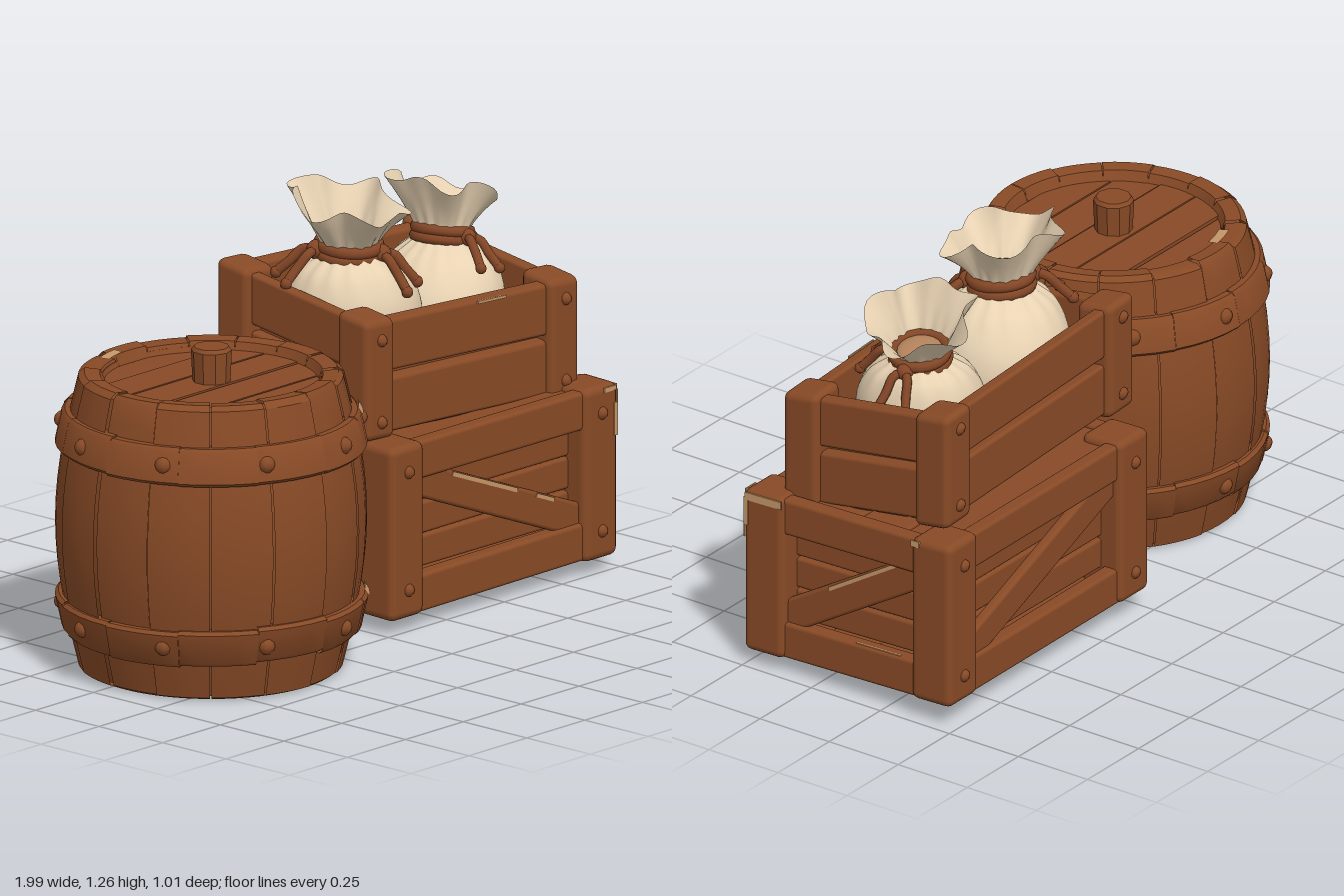
import * as THREE from 'three';
import { toCreasedNormals, mergeVertices } from 'three/addons/utils/BufferGeometryUtils.js';
import { RoundedBoxGeometry } from 'three/addons/geometries/RoundedBoxGeometry.js';

const material = (name, color, side = THREE.FrontSide) => {
  const m = new THREE.MeshStandardMaterial({ color, side });
  m.name = name;
  return m;
};
const wood = material('brown wood', 0x884a26);
const woodOpen = material('brown wood staves', 0x884a26, THREE.DoubleSide);
const cloth = material('sack cloth', 0xead4b4, THREE.DoubleSide);
const lining = material('sack mouth', 0xb5835c);
const cord = material('cord', 0x834626);
const scuff = material('worn edge', 0xc69768);

// seeded variation for hand-cut timber
let seed = 7;
const vary = (a) => {
  seed = (seed * 16807) % 2147483647;
  return (seed / 2147483647 - 0.5) * 2 * a;
};

function add(parent, name, geo, mat, matrix) {
  if (matrix) geo.applyMatrix4(matrix);
  const mesh = new THREE.Mesh(geo, mat);
  mesh.name = name;
  parent.add(mesh);
  return mesh;
}

function group(parent, name) {
  const g = new THREE.Group();
  g.name = name;
  parent.add(g);
  return g;
}

const plank = (w, h, d, r = 0.012) =>
  new RoundedBoxGeometry(w, h, d, 2, Math.min(r, w / 3, h / 3, d / 3));

const lathe = (pts, segs, start = 0, len = Math.PI * 2) => toCreasedNormals(
  new THREE.LatheGeometry(pts.map(([r, y]) => new THREE.Vector2(r, y)), segs, start, len), 0.6);

function makeBarrel(parent) {
  const g = group(parent, 'barrel');
  const H = 0.89, count = 15, step = (Math.PI * 2) / count;
  const radius = (y) => 0.383 + 0.07 * Math.sin((Math.PI * y) / H);

  // bulging staves, each slightly different
  for (let i = 0; i < count; i++) {
    const dr = vary(0.005), dy = vary(0.007), pts = [[0.27, 0.03], [0.3, 0.004], [0.37, 0.004]];
    for (let k = 0; k <= 14; k++) {
      const y = 0.012 + (k / 14) * (H - 0.024);
      pts.push([radius(y) + dr, y]);
    }
    pts.push([0.37, H + dy], [0.325, H + dy - 0.004], [0.3, 0.83]);
    add(g, 'stave', lathe(pts, 4, i * step + 0.005, step - 0.01), woodOpen);
  }
  // solid core seen through the seams
  const core = [[0, 0.03], [0.27, 0.03], [0.29, 0.012]];
  for (let k = 0; k <= 10; k++) core.push([radius((k / 10) * H) - 0.014, 0.012 + k * 0.086]);
  core.push([0.32, 0.872], [0.31, 0.83], [0, 0.83]);
  add(g, 'core', lathe(core, 40), wood);

  // hoops in overlapping segments, with rivets and a worn upper edge
  for (const [y0, r0, y1, r1] of [[0.12, 0.436, 0.23, 0.455], [0.67, 0.455, 0.78, 0.436]]) {
    for (let i = 0; i < 12; i++) {
      const e = vary(0.003), f = vary(0.007);
      add(g, 'hoop', lathe([[0.39, y0 + f], [r0 - 0.01 + e, y0 + f], [r0 + e, y0 + 0.01 + f],
        [r1 + e, y1 - 0.01 + f], [r1 - 0.01 + e, y1 + f], [0.39, y1 + f]], 4,
      i * Math.PI / 6, Math.PI / 6), woodOpen);
    }
    for (let i = 0; i < 9; i++) {
      const a = i * Math.PI * 2 / 9 + 0.24, r = (r0 + r1) / 2 - 0.008;
      const rivet = add(g, 'rivet', new THREE.SphereGeometry(0.026, 8, 6), wood);
      rivet.position.set(Math.sin(a) * r, (y0 + y1) / 2, Math.cos(a) * r);
    }
    add(g, 'wornHoop', lathe([[r1 + 0.006, y1 - 0.012], [r1 - 0.008, y1 + 0.009]], 5, 0.66, 0.26), scuff);
  }
  // worn patch on the rim
  add(g, 'wornRim', lathe([[0.345, 0.897], [0.315, 0.895]], 6, Math.PI * 1.04, 0.28), scuff);

  // lid planks cut from a disc
  const R = 0.315, edges = [-0.31, -0.19, -0.06, 0.07, 0.2, 0.31];
  for (let i = 0; i < 5; i++) {
    const a0 = Math.asin((edges[i] + 0.003) / R), a1 = Math.asin((edges[i + 1] - 0.003) / R);
    const s = new THREE.Shape();
    s.absarc(0, 0, R, a0, a1, false);
    s.absarc(0, 0, R, Math.PI - a1, Math.PI - a0, false);
    const geo = new THREE.ExtrudeGeometry(s, { depth: 0.03, bevelEnabled: false, curveSegments: 8 });
    geo.rotateX(-Math.PI / 2).translate(0, 0.83 + vary(0.004), 0);
    add(g, 'lidPlank', geo, wood);
  }
  add(g, 'lidHandle', lathe([[0.055, 0.84], [0.06, 0.955], [0.052, 0.966], [0, 0.968]], 10), wood);
  g.position.set(-0.545, 0, 0.05);
}

function makeCrate(parent, name, o) {
  const g = group(parent, name);
  const { w, h, d, post, slats, braces } = o;
  // lean of the crate: height changes along x and z
  const base = new THREE.Matrix4().makeTranslation(...o.center).multiply(
    new THREE.Matrix4().set(1, 0, 0, 0, o.leanX, 1, o.leanZ, 0, 0, 0, 1, 0, 0, 0, 0, 1));
  const put = (label, geo, x, y, z, turn = 0, tilt = 0, mat = wood) => {
    geo.rotateZ(tilt).translate(x, y, z).rotateY(turn);
    add(g, label, geo, mat, base);
  };

  for (const sx of [-1, 1]) for (const sz of [-1, 1]) {
    const x = sx * (w - post) / 2, z = sz * (d - post) / 2;
    put('cornerPost', plank(post, h, post, 0.024), x, vary(0.004), z);
    for (const y of [-0.34, 0.34]) {
      put('bolt', new THREE.SphereGeometry(0.02, 8, 6), x, y * h, sz * (d / 2 - 0.004));
    }
  }
  // four walls
  for (let i = 0; i < 4; i++) {
    const turn = i * Math.PI / 2;
    const L = (i % 2 ? d : w) - post * 1.2, D = (i % 2 ? w : d) / 2;
    for (const [y, sh, inset, t] of slats) {
      put('slat', plank(L, sh, t), 0, y, D - inset, turn, vary(0.006));
    }
    if (braces) {
      const span = L - 0.06, rise = h - 0.23;
      put('brace', plank(Math.hypot(span, rise), 0.1, 0.035), 0, 0, D - 0.045, turn,
        braces[i] * Math.atan2(rise, span));
    }
  }
  // boarded levels
  for (const [label, y] of o.levels) {
    for (let i = 0; i < 4; i++) {
      const pd = (d - 0.08) / 4;
      put(label, plank(w - 0.08, 0.03, pd - 0.005), 0, y, (i - 1.5) * pd);
    }
  }
  // worn paint on chosen edges: [width, height, x, y, distance, turn, tilt]
  for (const [sw, sh, x, y, z, turn, tilt] of o.scuffs) {
    put('wornEdge', new THREE.BoxGeometry(sw, sh, 0.005), x, y, z, turn, tilt, scuff);
  }
}

function makeSack(parent, o) {
  const g = group(parent, 'sack');
  const neckY = 0.435;
  const profile = new THREE.SplineCurve([[0.0, 0], [0.12, 0.01], [0.19, 0.09], [0.208, 0.19],
    [0.2, 0.29], [0.16, 0.37], [0.105, 0.415], [0.08, neckY], [0.092, 0.468], [0.122, 0.515],
    [0.152, 0.555], [0.176, 0.585]].map((p) => new THREE.Vector2(...p)));
  let geo = new THREE.LatheGeometry(profile.getPoints(48), 64);
  geo.deleteAttribute('uv');
  geo.deleteAttribute('normal');
  const p = geo.attributes.position;
  // pleats near the neck, ruffles toward the mouth
  for (let i = 0; i < p.count; i++) {
    const x = p.getX(i), y = p.getY(i), z = p.getZ(i), a = Math.atan2(x, z) + o.phase;
    const flare = THREE.MathUtils.clamp((y - neckY) / 0.15, 0, 1);
    const gather = Math.exp(-(((y - neckY) / 0.07) ** 2));
    const s = 1 + gather * 0.05 * Math.cos(16 * a)
      + flare * (0.11 * Math.cos(5 * a) + 0.06 * Math.cos(8 * a + 1) - 0.05);
    const lean = THREE.MathUtils.smoothstep(y, 0.2, 0.6);
    p.setXYZ(i, x * s + o.lean[0] * lean,
      y + flare * (0.018 * Math.cos(5 * a + 2.2) + 0.01 * Math.cos(3 * a) + x * o.tip[0] + z * o.tip[1]),
      z * s + o.lean[1] * lean);
  }
  geo = mergeVertices(geo, 1e-5);
  geo.computeVertexNormals();
  add(g, 'sackCloth', geo, cloth);

  // cord around the neck
  const tie = group(g, 'tie');
  const n = THREE.MathUtils.smoothstep(neckY, 0.2, 0.6);
  tie.position.set(o.lean[0] * n, neckY, o.lean[1] * n);
  tie.rotation.set(o.tieTilt[0], 0, o.tieTilt[1]);
  for (const y of [-0.014, 0.014]) {
    add(tie, 'cordLoop', new THREE.TorusGeometry(0.087, 0.018, 8, 28).rotateX(Math.PI / 2), cord)
      .position.y = y;
  }
  add(tie, 'gatheredMouth', new THREE.SphereGeometry(0.078, 16, 8).scale(1, 0.3, 1), lining)
    .position.y = 0.012;
  // knots with loose ends
  for (const turn of o.knots) {
    const bow = group(tie, 'bow');
    bow.rotation.y = turn;
    add(bow, 'knot', new THREE.SphereGeometry(0.029, 10, 8), cord).position.z = 0.1;
    for (const s of [-1, 1]) {
      const path = new THREE.CatmullRomCurve3([[0, 0, 0.1], [s * 0.025, -0.005, 0.13],
        [s * 0.035, -0.045, 0.165], [s * 0.05, -0.085, 0.2]].map((v) => new THREE.Vector3(...v)));
      add(bow, 'cordEnd', new THREE.TubeGeometry(path, 10, 0.015, 7), cord);
      add(bow, 'cordTip', new THREE.SphereGeometry(0.018, 8, 6), cord)
        .position.set(s * 0.05, -0.085, 0.2);
    }
  }
  g.scale.setScalar(o.scale);
  g.position.set(...o.position);
}

export function createModel() {
  const model = new THREE.Group();
  model.name = 'barrelCratesAndSacks';
  makeBarrel(model);

  const q = Math.PI / 2;
  makeCrate(model, 'lowerCrate', {
    w: 0.98, h: 0.525, d: 0.75, post: 0.145, center: [0.495, 0.322, -0.115],
    leanX: 0, leanZ: -0.03, braces: [-1, 1, 1, 1],
    levels: [['floorPlank', -0.222], ['lidPlank', 0.225]],
    slats: [[0.195, 0.115, 0.04, 0.05], [-0.205, 0.115, 0.04, 0.05],
      [0.097, 0.096, 0.085, 0.03], [-0.004, 0.096, 0.085, 0.03], [-0.105, 0.096, 0.085, 0.03]],
    scuffs: [[0.13, 0.024, -0.3, 0.238, 0.49, q, 0], [0.014, 0.09, -0.362, 0.19, 0.49, q, 0],
      [0.03, 0.02, 0.25, 0.245, 0.49, q, 0],
      [0.28, 0.012, 0.04, 0.07, 0.463, q, 0.53], [0.16, 0.008, 0.1, -0.15, 0.465, q, 0],
      [0.3, 0.013, -0.06, 0.067, 0.3475, 0, -0.376], [0.08, 0.012, 0.2, -0.036, 0.3475, 0, -0.376],
      [0.014, 0.1, 0.475, 0.15, 0.375, 0, 0], [0.05, 0.014, 0.45, 0.245, 0.375, 0, 0]],
  });
  makeCrate(model, 'upperCrate', {
    w: 0.92, h: 0.365, d: 0.6, post: 0.125, center: [0.462, 0.772, -0.135],
    leanX: -0.055, leanZ: -0.15, levels: [['floorPlank', -0.167]],
    slats: [[0.09, 0.155, 0.045, 0.045], [-0.088, 0.165, 0.045, 0.045], [0, 0.06, 0.07, 0.018]],
    scuffs: [[0.12, 0.008, 0.1, 0.162, 0.279, 0, 0]],
  });

  makeSack(model, { position: [0.262, 0.625, -0.135], scale: 1, phase: 0.4,
    lean: [-0.04, 0.02], tip: [-0.05, -0.2], tieTilt: [0.1, 0], knots: [0.45, -2.1] });
  makeSack(model, { position: [0.632, 0.605, -0.125], scale: 0.92, phase: 2.1,
    lean: [0.075, -0.05], tip: [-0.3, 0.05], tieTilt: [-0.05, -0.2], knots: [0.1, 1.7] });
  return model;
}
